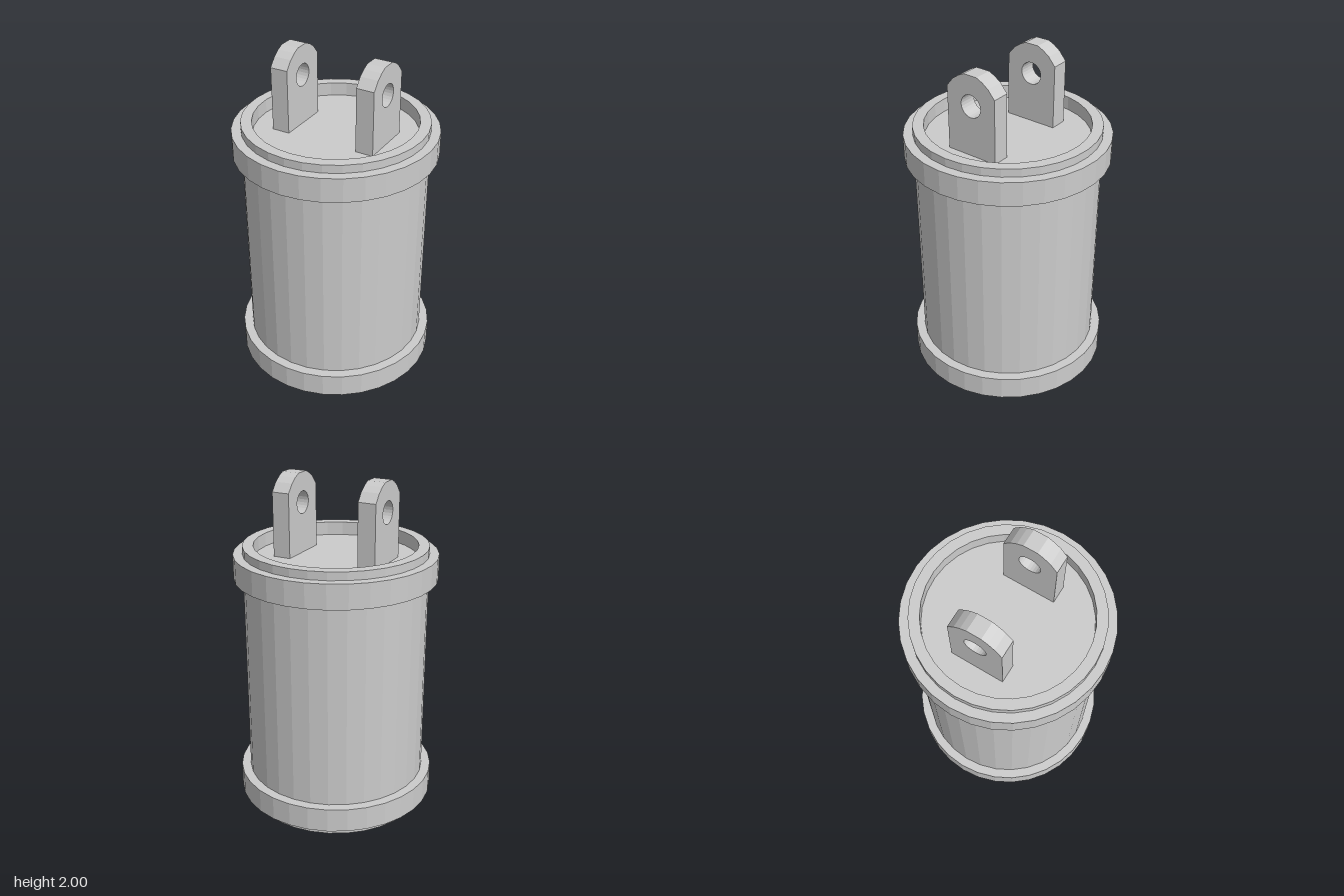
import * as THREE from 'three';

const SIDES = 32;
const material = new THREE.MeshStandardMaterial({ color: 0xcccccc, flatShading: true });

function addMesh(parent, name, geometry) {
  const mesh = new THREE.Mesh(geometry, material);
  mesh.name = name;
  parent.add(mesh);
  return mesh;
}

// Upright plate with a rounded top and a pin hole, drawn in (z, y)
function lugGeometry(base, thickness) {
  const halfTop = [[0.16, 1.905], [0.118, 1.955], [0.08, 1.982], [0.042, 2]];
  const outline = [
    [-0.16, base], [0.16, base],
    ...halfTop,
    ...halfTop.map(([z, y]) => [-z, y]).reverse(),
  ];
  const shape = new THREE.Shape(outline.map(([z, y]) => new THREE.Vector2(z, y)));
  const hole = new THREE.Path();
  hole.absarc(0, 1.825, 0.066, 0, Math.PI * 2, true);
  shape.holes.push(hole);
  const geometry = new THREE.ExtrudeGeometry(shape, {
    depth: thickness, bevelEnabled: false, curveSegments: 12,
  });
  geometry.translate(0, 0, -thickness / 2);
  geometry.rotateY(Math.PI / 2);
  return geometry;
}

export function createModel() {
  const model = new THREE.Group();
  model.name = 'canister';

  // Cylinder with raised bands and a shallow recess at both ends
  const floorY = 1.53;
  const profile = [
    [0, 0.08], [0.475, 0.08], [0.475, 0], [0.538, 0],
    [0.538, 0.052], [0.593, 0.052], [0.593, 0.197], [0.538, 0.197],
    [0.538, 1.418], [0.593, 1.418], [0.593, 1.562], [0.538, 1.562],
    [0.538, 1.61], [0.475, 1.61], [0.475, floorY], [0, floorY],
  ].map(([r, y]) => new THREE.Vector2(r, y));
  addMesh(model, 'body', new THREE.LatheGeometry(profile, SIDES));

  // Pair of mounting lugs standing on the recessed top
  for (const side of [1, -1]) {
    const lug = addMesh(model, side > 0 ? 'leftLug' : 'rightLug', lugGeometry(floorY, 0.106));
    lug.position.x = side * 0.268;
  }

  return model;
}
